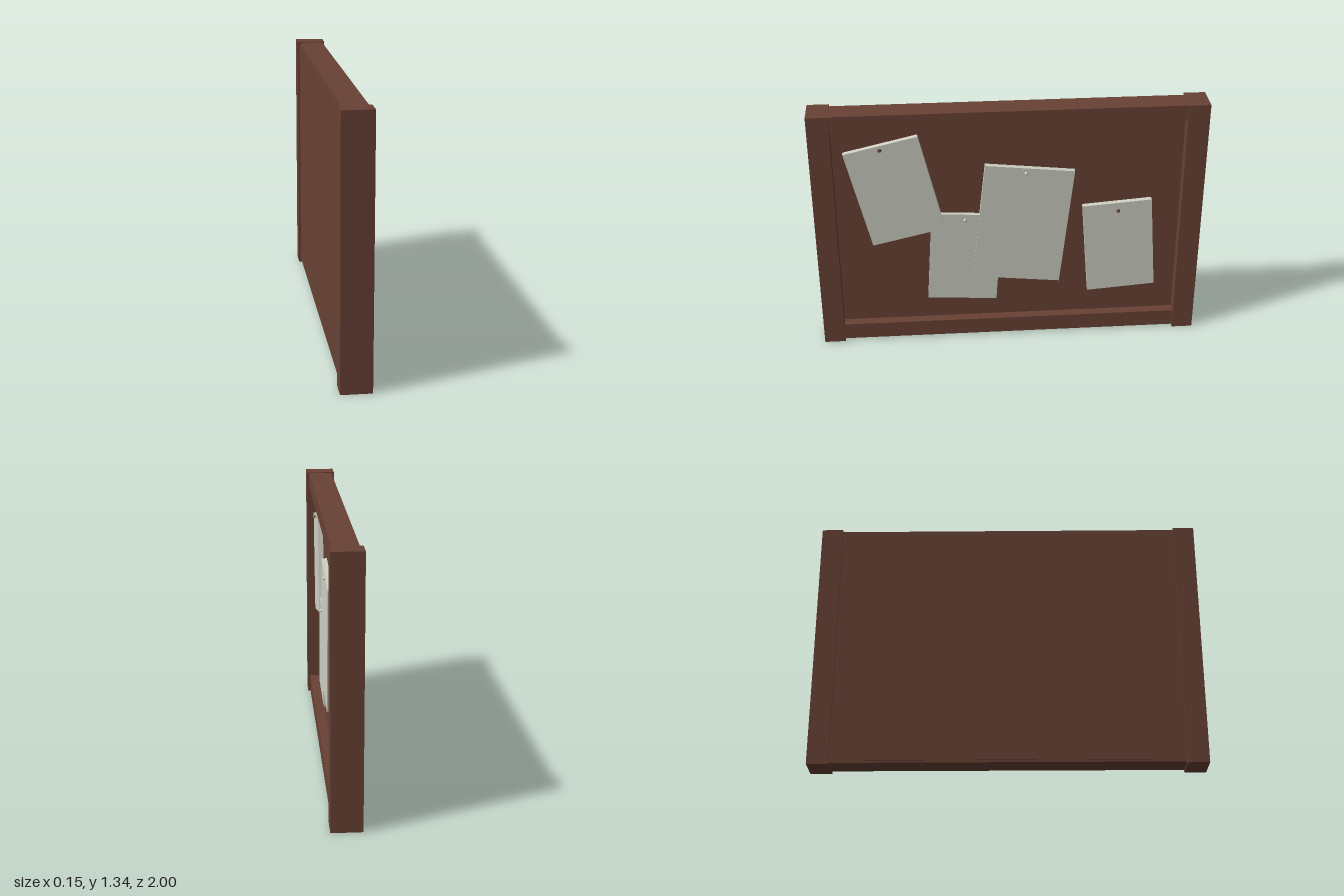
import * as THREE from 'three';

const wood = new THREE.MeshStandardMaterial({ name: 'brown wood', color: 0x694235 });
const paper = new THREE.MeshStandardMaterial({ name: 'pale paper', color: 0xcfd1c4 });

export function createModel() {
  const board = new THREE.Group();
  board.name = 'noticeBoard';

  // Box given by its limits on each axis
  function box(name, [x0, x1], [y0, y1], [z0, z1]) {
    const mesh = new THREE.Mesh(new THREE.BoxGeometry(x1 - x0, y1 - y0, z1 - z0), wood);
    mesh.position.set((x0 + x1) / 2, (y0 + y1) / 2, (z0 + z1) / 2);
    mesh.name = name;
    board.add(mesh);
  }

  // Frame: two thick posts joined by slimmer rails
  box('leftPost', [-0.077, 0.077], [0, 1.336], [-1, -0.89]);
  box('rightPost', [-0.077, 0.077], [0, 1.336], [0.89, 1]);
  box('topRail', [-0.062, 0.065], [1.25, 1.332], [-0.89, 0.89]);
  box('bottomRail', [-0.062, 0.065], [0.01, 0.1], [-0.89, 0.89]);

  // Backing panel, recessed in front and overlapping the rails behind
  box('backPanel', [-0.062, 0.015], [0.1, 1.25], [-0.89, 0.89]);
  box('backPlate', [-0.066, -0.062], [0.022, 1.318], [-0.89, 0.89]);

  // Notices: centre, size, tilt, front face, pin position and pin colour
  const notices = [
    { name: 'upperNotice', z: 0.585, y: 0.888, w: 0.386, h: 0.549, tilt: 0.23, front: 0.043, pin: [0.65, 1.13], pinMat: wood },
    { name: 'lowerNotice', z: 0.237, y: 0.48, w: 0.366, h: 0.516, tilt: -0.062, front: 0.037, pin: [0.23, 0.705], pinMat: paper },
    { name: 'largeNotice', z: -0.07, y: 0.667, w: 0.462, h: 0.664, tilt: -0.106, front: 0.043, pin: [-0.085, 0.97], pinMat: paper },
    { name: 'sideNotice', z: -0.58, y: 0.517, w: 0.361, h: 0.521, tilt: 0.077, front: 0.043, pin: [-0.567, 0.73], pinMat: wood },
  ];
  for (const n of notices) {
    const group = new THREE.Group();
    group.name = n.name;
    const depth = n.front - 0.012;
    const sheet = new THREE.Mesh(new THREE.BoxGeometry(depth, n.h, n.w), paper);
    sheet.name = 'sheet';
    sheet.position.set(n.front - depth / 2, n.y, n.z);
    sheet.rotation.x = n.tilt;
    const pin = new THREE.Mesh(new THREE.SphereGeometry(0.01, 12, 8), n.pinMat);
    pin.name = 'pin';
    pin.position.set(n.front, n.pin[1], n.pin[0]);
    group.add(sheet, pin);
    board.add(group);
  }

  return board;
}
